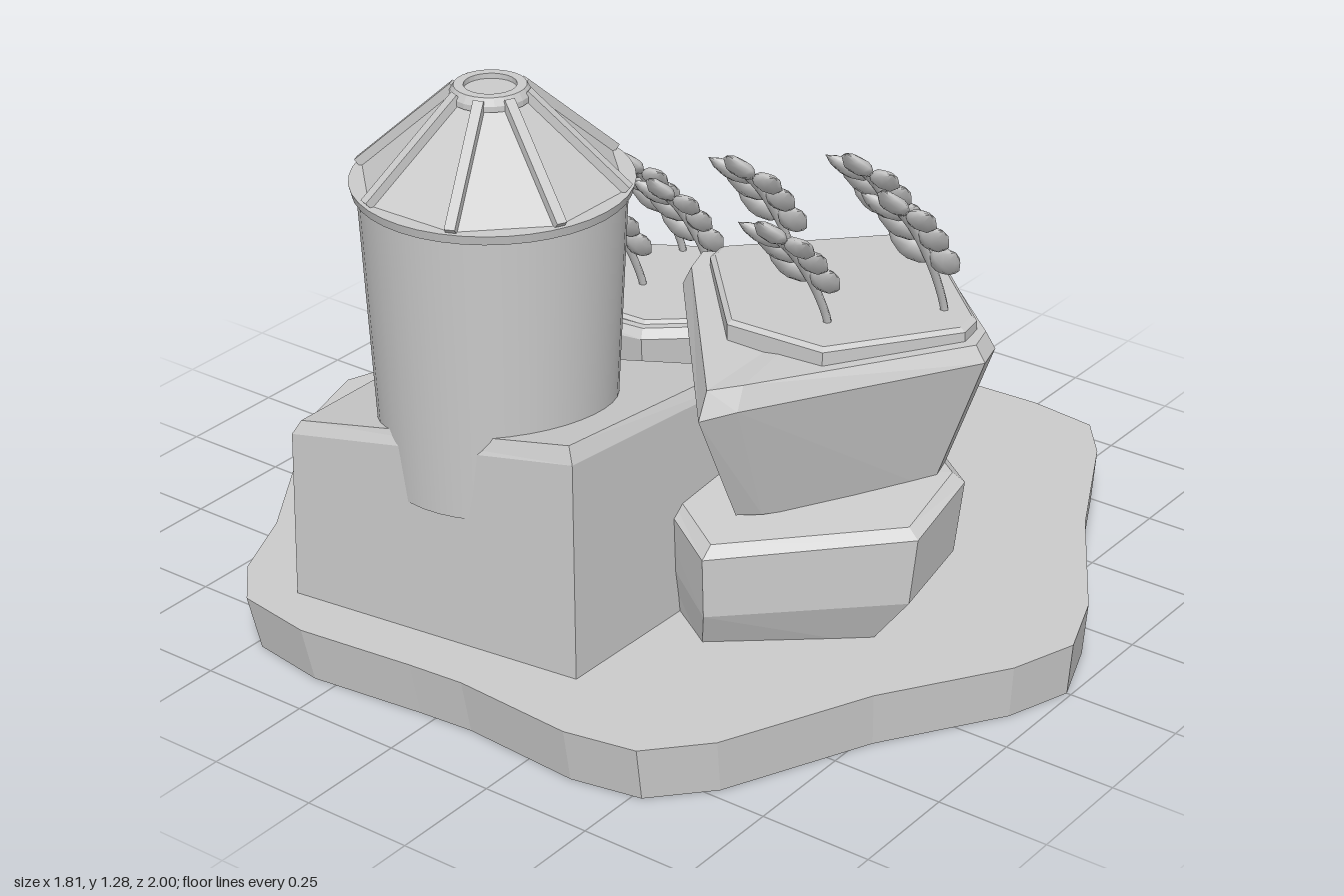
import * as THREE from 'three';

const smooth = new THREE.MeshStandardMaterial({ color: 0xcccccc });
const flat = new THREE.MeshStandardMaterial({ color: 0xcccccc, flatShading: true, side: THREE.DoubleSide });

function add(parent, name, geometry, material, x = 0, y = 0, z = 0) {
  const mesh = new THREE.Mesh(geometry, material);
  mesh.name = name;
  mesh.position.set(x, y, z);
  parent.add(mesh);
  return mesh;
}

// Open-bottomed stone: a plan of [x, z] corners (clockwise from above) lofted through
// levels { y: height or one height per corner, s: scale about the middle, dx, dz }
function stone(parent, name, plan, levels) {
  const n = plan.length;
  const cx = plan.reduce((a, p) => a + p[0], 0) / n;
  const cz = plan.reduce((a, p) => a + p[1], 0) / n;
  const loops = levels.map(({ y, s = 1, dx = 0, dz = 0 }) => plan.map(([x, z], i) =>
    [cx + dx + (x - cx) * s, Array.isArray(y) ? y[i] : y, cz + dz + (z - cz) * s]));
  const pos = [];
  for (let k = 0; k + 1 < loops.length; k++) {
    const a = loops[k], b = loops[k + 1];
    for (let i = 0; i < n; i++) {
      const j = (i + 1) % n;
      pos.push(...a[i], ...b[i], ...b[j], ...a[i], ...b[j], ...a[j]);
    }
  }
  const top = loops[loops.length - 1];
  const mid = [0, 1, 2].map(c => top.reduce((a, p) => a + p[c], 0) / n);
  for (let i = 0; i < n; i++) pos.push(...mid, ...top[(i + 1) % n], ...top[i]);
  const g = new THREE.BufferGeometry();
  g.setAttribute('position', new THREE.Float32BufferAttribute(pos, 3));
  g.computeVertexNormals();
  return add(parent, name, g, flat);
}

// Pointed, flattened grain
function grainGeometry() {
  const profile = [[0, 0], [0.018, 0.01], [0.033, 0.035], [0.034, 0.055], [0.022, 0.085], [0, 0.108]]
    .map(p => new THREE.Vector2(...p));
  return new THREE.LatheGeometry(profile, 8).scale(0.5, 1, 1);
}

// Ear of wheat bending towards -x
function wheat(parent, grain, x, y, z, tipY) {
  const ear = new THREE.Group();
  ear.name = 'wheat';
  ear.position.set(x, y, z);
  parent.add(ear);
  const k = (tipY - y) / 0.36;
  const curve = new THREE.CatmullRomCurve3([[0.01, -0.03], [0, 0.02], [-0.025, 0.08], [-0.06, 0.145],
    [-0.125, 0.24], [-0.185, 0.305]].map(([a, b]) => new THREE.Vector3(a, b * k, 0)));
  add(ear, 'stem', new THREE.TubeGeometry(curve, 14, 0.009, 6), smooth);
  const place = (t, lean, side) => {
    const p = curve.getPointAt(t), d = curve.getTangentAt(t);
    const m = add(ear, 'grain', grain, smooth, p.x, p.y, side * 0.008);
    m.rotation.set(0, 0, Math.atan2(-d.x, d.y));
    m.rotateX(side * lean);
  };
  for (const t of [0.42, 0.62, 0.81]) {
    place(t, 0.72, 1);
    place(t + 0.04, 0.72, -1);
  }
  place(0.93, 0, 0);
}

function silo(parent, x, z) {
  const g = new THREE.Group();
  g.name = 'silo';
  g.position.set(x, 0, z);
  parent.add(g);
  add(g, 'siloWall', new THREE.CylinderGeometry(0.275, 0.243, 0.64, 40, 1, true), smooth, 0, 0.74, 0);
  add(g, 'eave', new THREE.CylinderGeometry(0.29, 0.285, 0.02, 40), smooth, 0, 1.066, 0);
  // Eight-panel roof with a rib on every edge
  const roof = add(g, 'roof', new THREE.CylinderGeometry(0.07, 0.28, 0.19, 8, 1), flat, 0, 1.168, 0);
  roof.rotation.y = Math.PI / 8;
  for (let i = 0; i < 8; i++) {
    const rib = new THREE.Group();
    rib.name = 'roofRib';
    rib.rotation.y = (i + 0.5) * Math.PI / 4;
    g.add(rib);
    const bar = add(rib, 'ribBar', new THREE.BoxGeometry(0.022, 0.022, 0.28), flat, 0, 1.172, 0.178);
    bar.rotation.x = Math.atan2(0.19, 0.21);
  }
  // Vent collar with a sunken lid
  const collar = [[0.054, 1.255], [0.054, 1.278], [0.074, 1.278], [0.083, 1.262], [0.083, 1.25]];
  add(g, 'ventCollar', new THREE.LatheGeometry(collar.reverse().map(p => new THREE.Vector2(...p)), 24), flat);
  add(g, 'ventLid', new THREE.CylinderGeometry(0.058, 0.058, 0.01, 24), smooth, 0, 1.262, 0);
}

export function createModel() {
  const model = new THREE.Group();
  model.name = 'farmTile';

  // Hollow wavy hexagonal ground
  const ground = [[0.01, -1], [0.16, -0.95], [0.46, -0.76], [0.76, -0.6], [0.88, -0.48], [0.9, -0.32],
    [0.87, -0.05], [0.87, 0.11], [0.88, 0.36], [0.86, 0.52], [0.76, 0.6], [0.46, 0.75], [0.16, 0.94],
    [0, 1], [-0.15, 0.95], [-0.41, 0.78], [-0.74, 0.63], [-0.86, 0.52], [-0.89, 0.36], [-0.87, 0.08],
    [-0.88, -0.05], [-0.91, -0.32], [-0.88, -0.5], [-0.78, -0.59], [-0.6, -0.67], [-0.19, -0.94]];
  stone(model, 'ground', ground, [{ y: 0, s: 0.98, dz: 0.01 }, { y: 0.12 }]);

  // Silo on its sloping block
  stone(model, 'siloBlock', [[-0.8, -0.43], [-0.25, -0.53], [-0.13, 0.27], [-0.72, 0.26]], [
    { y: 0.04 }, { y: [0.5, 0.43, 0.57, 0.61], s: 0.985 }, { y: [0.53, 0.46, 0.6, 0.645], s: 0.94 }]);
  stone(model, 'siloBlockSpur', [[-0.18, -0.14], [-0.06, -0.07], [-0.03, 0.05], [-0.16, 0.15]], [
    { y: 0.1 }, { y: [0.5, 0.44, 0.46, 0.52], s: 0.95 }]);
  silo(model, -0.525, -0.093);

  // Front planter: undercut boulder, flared top and soil slab
  stone(model, 'lowerBoulder', [[-0.3, 0.12], [0, 0.07], [0.24, 0.41], [0.02, 0.71], [-0.2, 0.74], [-0.48, 0.4]], [
    { y: 0.1, s: 0.78, dx: -0.04, dz: -0.03 },
    { y: [0.24, 0.24, 0.3, 0.24, 0.22, 0.2], s: 0.96, dx: -0.01 },
    { y: [0.36, 0.42, 0.4, 0.4, 0.37, 0.335] },
    { y: [0.38, 0.43, 0.42, 0.42, 0.39, 0.36], s: 0.92 }]);
  stone(model, 'upperBoulder', [[-0.05, 0.03], [0.02, 0.01], [0.36, 0.34], [0.385, 0.4], [0.07, 0.74], [0, 0.76],
    [-0.43, 0.45], [-0.48, 0.39]], [
    { y: 0.38, s: 0.7, dx: -0.01 },
    { y: [0.69, 0.7, 0.68, 0.67, 0.7, 0.7, 0.67, 0.65] },
    { y: [0.735, 0.74, 0.72, 0.715, 0.735, 0.735, 0.72, 0.71], s: 0.94 }]);
  stone(model, 'frontSoil', [[-0.02, 0.08], [0.03, 0.07], [0.32, 0.35], [0.32, 0.42], [0.06, 0.7], [0, 0.71],
    [-0.25, 0.53], [-0.26, 0.3]], [{ y: 0.7 }, { y: 0.755 }, { y: 0.763, s: 0.96 }]);

  // Back planter
  const back = [[0.16, -0.58], [0.445, -0.67], [0.67, -0.29], [0.64, -0.23], [0.39, -0.08], [0.24, -0.09],
    [0.13, -0.22], [0.12, -0.5]];
  stone(model, 'backBoulder', back, [
    { y: 0.1, s: 0.9 }, { y: [0.3, 0.32, 0.29, 0.28, 0.28, 0.28, 0.28, 0.3], s: 0.93 },
    { y: [0.38, 0.37, 0.39, 0.39, 0.4, 0.41, 0.41, 0.39] },
    { y: [0.41, 0.39, 0.41, 0.41, 0.43, 0.43, 0.43, 0.42], s: 0.93 }]);
  stone(model, 'backSoil', back, [{ y: 0.39, s: 0.84 }, { y: 0.428, s: 0.84 }, { y: 0.436, s: 0.8 }]);

  // Loose stones
  stone(model, 'frontPebble', [[0.42, -0.22], [0.62, -0.19], [0.63, -0.08], [0.55, -0.01], [0.36, -0.07]], [
    { y: 0.1, s: 0.97 }, { y: [0.25, 0.23, 0.2, 0.22, 0.25] }, { y: [0.265, 0.25, 0.235, 0.25, 0.265], s: 0.86 }]);
  stone(model, 'middlePebble', [[0, -0.03], [0.1, 0], [0.21, 0.15], [0.17, 0.22], [-0.03, 0.13]], [
    { y: 0.1 }, { y: 0.22, s: 0.97 }, { y: 0.255, s: 0.85 }]);

  // Wheat: x, base y, z, tip y
  const grain = grainGeometry();
  for (const [x, y, z, tip] of [[0.05, 0.75, 0.25, 1.09], [-0.14, 0.75, 0.465, 1.07], [0.22, 0.75, 0.425, 1.08],
    [0.05, 0.75, 0.625, 1.115], [0.36, 0.42, -0.525, 0.775], [0.52, 0.42, -0.395, 0.765],
    [0.32, 0.42, -0.36, 0.765], [0.43, 0.42, -0.24, 0.775]]) wheat(model, grain, x, y, z, tip);

  return model;
}
